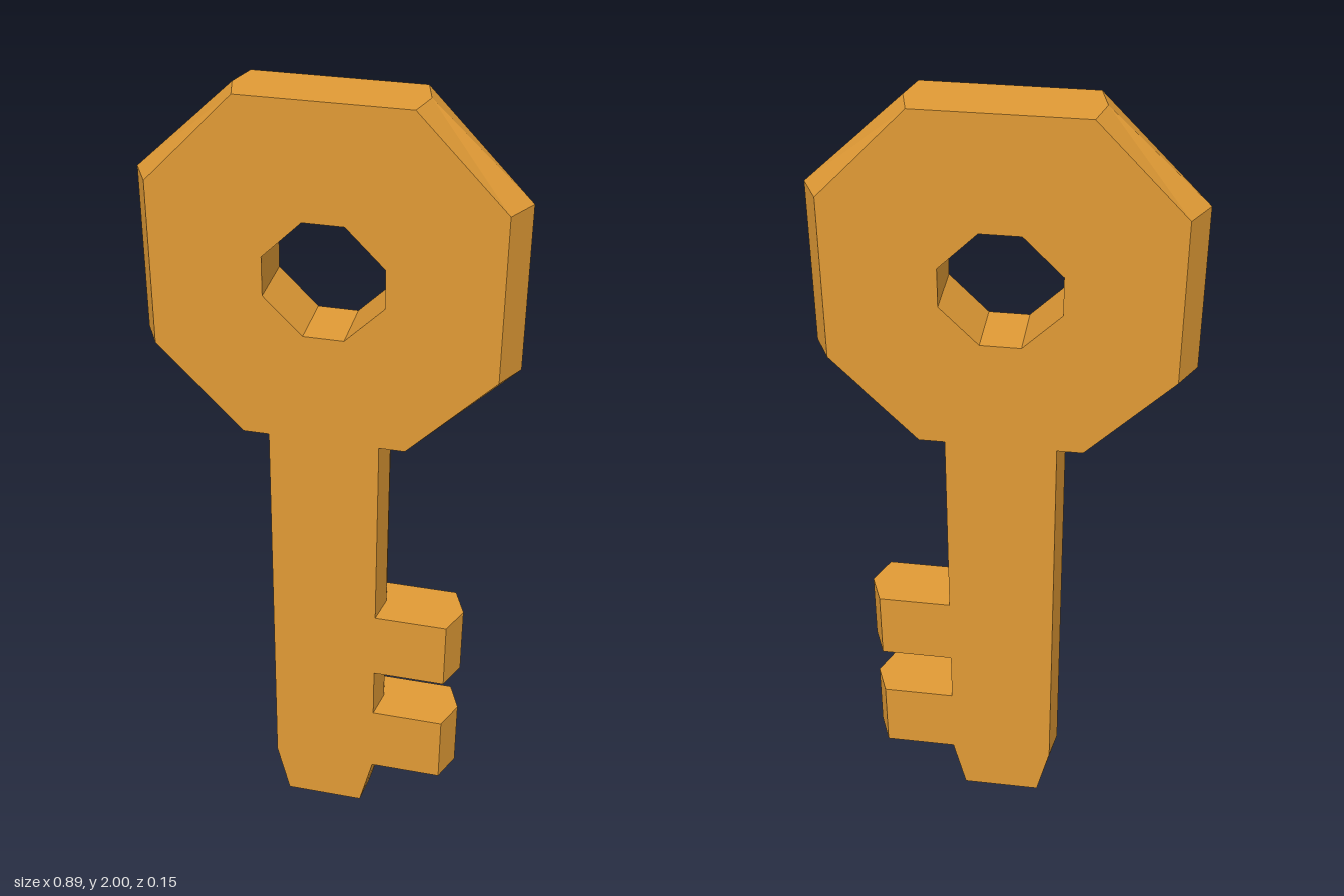
import * as THREE from 'three';

const THICKNESS = 0.15;
const RIDGE = 1.1; // how far the outer edge swells at mid thickness
const HOLE_Y = 1.585;

const toPoints = (list) => list.map(([x, y]) => new THREE.Vector2(x, y));

export function createModel() {
  const group = new THREE.Group();
  group.name = 'key';

  // Outline, counter-clockwise: tip, two teeth, shaft, octagonal bow
  const shape = new THREE.Shape(toPoints([
    [-0.1, 0], [0.1, 0], [0.133, 0.14],
    [0.315, 0.14], [0.315, 0.33], [0.133, 0.33],
    [0.133, 0.47], [0.315, 0.47], [0.315, 0.655], [0.133, 0.655],
    [0.133, 1.17], [0.195, 1.17], [0.403, 1.383], [0.403, 1.787], [0.195, 2],
    [-0.195, 2], [-0.403, 1.787], [-0.403, 1.383], [-0.195, 1.17],
    [-0.133, 1.17], [-0.133, 0.14],
  ]));

  // Octagonal hole in the bow
  const a = 0.14, b = 0.048;
  shape.holes.push(new THREE.Path(toPoints([
    [a, b], [a, -b], [b, -a], [-b, -a], [-a, -b], [-a, b], [-b, a], [b, a],
  ].map(([x, y]) => [x, y + HOLE_Y]))));

  const geometry = new THREE.ExtrudeGeometry(shape, { depth: THICKNESS, steps: 2, bevelEnabled: false });
  geometry.translate(0, 0, -THICKNESS / 2);

  // Push the middle ring outwards for the ridged rim; the hole stays straight
  const pos = geometry.attributes.position;
  for (let i = 0; i < pos.count; i++) {
    const inHole = Math.hypot(pos.getX(i), pos.getY(i) - HOLE_Y) < 0.2;
    if (Math.abs(pos.getZ(i)) < 0.01 && !inHole) pos.setX(i, pos.getX(i) * RIDGE);
  }
  geometry.computeVertexNormals();

  const key = new THREE.Mesh(geometry, new THREE.MeshStandardMaterial({ color: 0xe09a35, flatShading: true }));
  key.name = 'keyBody';
  group.add(key);
  return group;
}
